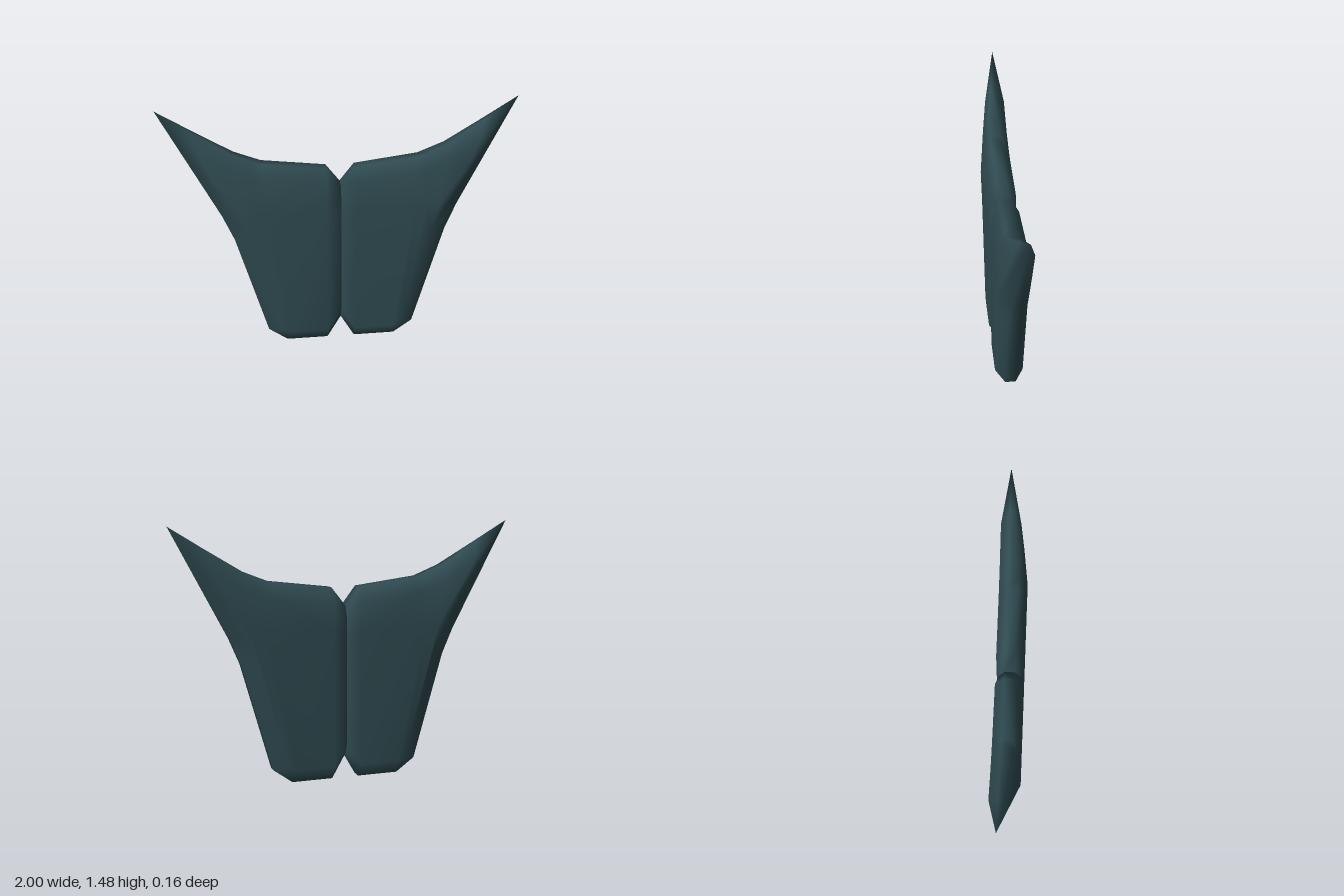
import * as THREE from 'three';

// Front half of each cross-section, from the seam out towards the tip:
// lower rim, lower face, mid face, upper face, upper rim
const SECTIONS = [
  [[0, 0.14, 0.03], [0, 0.2, 0.06], [0, 0.85, 0.06], [0, 0.95, 0.055], [0, 1.01, 0.03]],
  [[0.08, 0, 0.03], [0.08, 0.08, 0.08], [0.08, 0.87, 0.08], [0.08, 1.03, 0.065], [0.08, 1.115, 0.03]],
  [[0.32, 0, 0.03], [0.31, 0.08, 0.08], [0.42, 0.87, 0.08], [0.43, 1.07, 0.063], [0.44, 1.16, 0.03]],
  [[0.43, 0.08, 0.03], [0.35, 0.1, 0.08], [0.48, 0.87, 0.08], [0.49, 1.09, 0.062], [0.49, 1.18, 0.03]],
  [[0.605, 0.7, 0.03], [0.52, 0.72, 0.08], [0.56, 0.88, 0.08], [0.6, 1.13, 0.058], [0.59, 1.22, 0.03]],
  [[0.67, 0.85, 0.02], [0.6, 0.87, 0.08], [0.71, 1.09, 0.055], [0.785, 1.25, 0.034], [0.81, 1.355, 0.0]],
];
const TIP = [1, 1.475, -0.03];

// The back keeps its full depth all the way out to the tip
function fullRing(half) {
  const back = half.map(([x, y], i) => {
    const rim = i === 0 || i === half.length - 1;
    return [x, y, rim ? -0.03 : x > 0 ? -0.08 : -0.06];
  });
  return [...half, ...back.reverse()];
}

// One padded panel; side is +1 or -1
function panelGeometry(side) {
  const rings = SECTIONS.map(fullRing);
  const n = rings[0].length;
  const points = [...rings.flat(), TIP, [0, 0.58, 0]];
  const tip = points.length - 2, seam = points.length - 1;
  const index = [];
  const tri = (a, b, c) => (side > 0 ? index.push(a, b, c) : index.push(a, c, b));
  for (let i = 0; i < n; i++) {
    const j = (i + 1) % n;
    for (let s = 0; s < rings.length - 1; s++) {
      const a = s * n + i, b = s * n + j, c = a + n, d = b + n;
      tri(a, c, b);
      tri(c, d, b);
    }
    const last = (rings.length - 1) * n;
    tri(last + i, tip, last + j);
    tri(seam, i, j);
  }
  const geometry = new THREE.BufferGeometry();
  geometry.setAttribute('position', new THREE.Float32BufferAttribute(
    points.flatMap(([x, y, z]) => [x * side, y, z]), 3));
  geometry.setIndex(index);
  geometry.computeVertexNormals();
  return geometry;
}

export function createModel() {
  const group = new THREE.Group();
  group.name = 'wingedPlate';
  const material = new THREE.MeshStandardMaterial({ color: 0x304c52 });
  for (const [name, side] of [['leftPanel', 1], ['rightPanel', -1]]) {
    const panel = new THREE.Mesh(panelGeometry(side), material);
    panel.name = name;
    group.add(panel);
  }
  return group;
}
